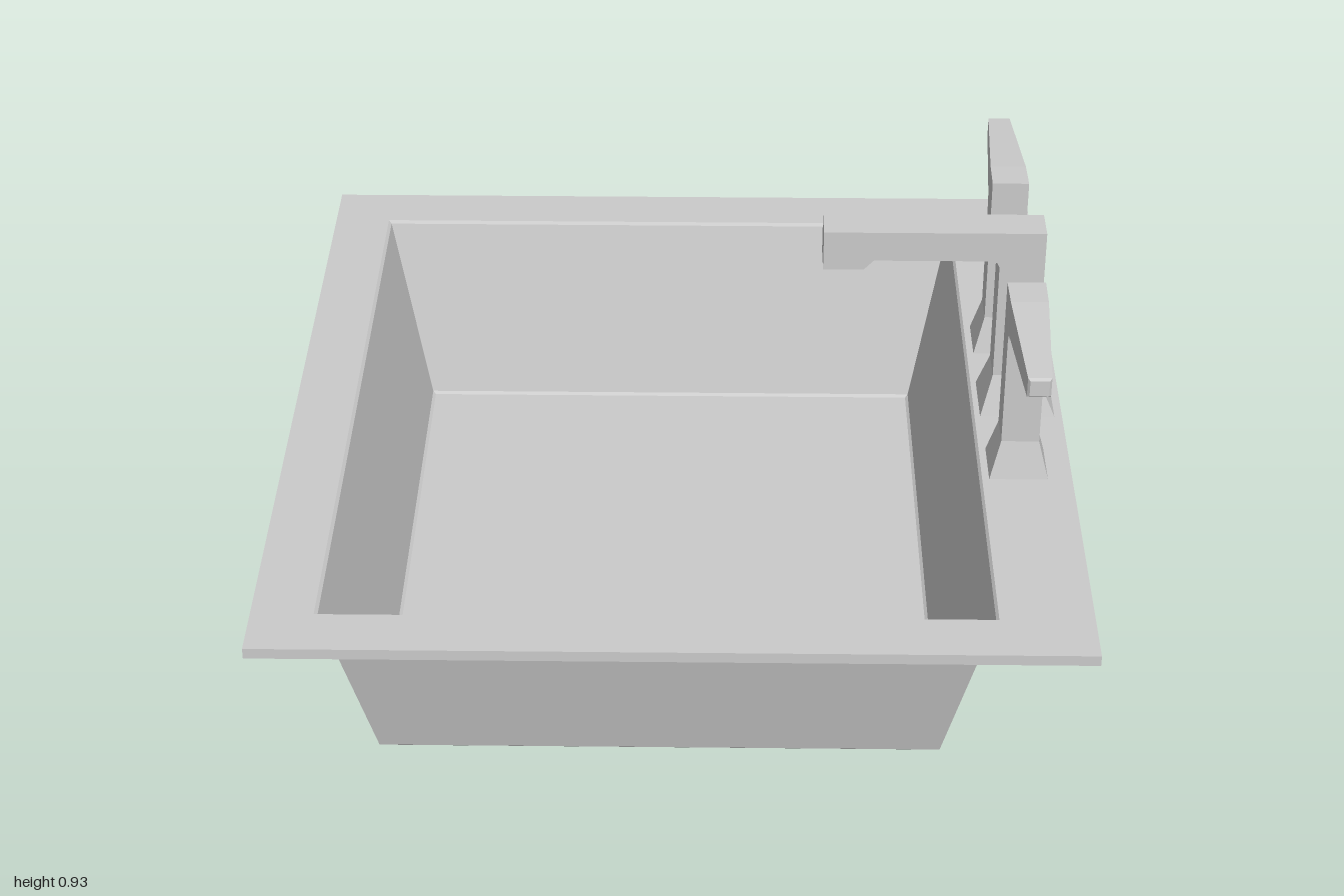
import * as THREE from 'three';

const grey = new THREE.MeshStandardMaterial({ color: 0xcccccc, flatShading: true, side: THREE.DoubleSide });

// Skin a list of four-cornered rings; optionally close the first and last ring
function loft(name, rings, capStart, capEnd) {
  const index = [];
  for (let r = 0; r < rings.length - 1; r++) {
    for (let i = 0; i < 4; i++) {
      const a = r * 4 + i, b = r * 4 + (i + 1) % 4;
      index.push(a, a + 4, b, b, a + 4, b + 4);
    }
  }
  const e = (rings.length - 1) * 4;
  if (capStart) index.push(0, 1, 2, 0, 2, 3);
  if (capEnd) index.push(e, e + 3, e + 2, e, e + 2, e + 1);
  let geometry = new THREE.BufferGeometry();
  geometry.setAttribute('position', new THREE.Float32BufferAttribute(rings.flat(2), 3));
  geometry.setIndex(index);
  geometry = geometry.toNonIndexed();
  geometry.computeVertexNormals();
  const mesh = new THREE.Mesh(geometry, grey);
  mesh.name = name;
  return mesh;
}

// Horizontal rectangle at height y
const rect = (x0, x1, z0, z1, y) => [[x0, y, z0], [x1, y, z0], [x1, y, z1], [x0, y, z1]];

// Section of a bent arm: outer edge (z, y), inner edge (z, y), half width in x
const section = ([az, ay, bz, by, w]) => [[-w, ay, az], [w, ay, az], [w, by, bz], [-w, by, bz]];
const arm = (name, sections) => loft(name, sections.map(section), true, true);

export function createModel() {
  const model = new THREE.Group();
  model.name = 'sink';
  const rimTop = 0.455, rimBottom = 0.43;

  // Flat rim with a small lip around the opening
  model.add(loft('rim', [
    rect(-0.757, 0.69, -0.853, 0.864, rimBottom),
    rect(-0.905, 0.905, -1, 1, rimBottom),
    rect(-0.905, 0.905, -1, 1, rimTop),
    rect(-0.768, 0.699, -0.863, 0.874, rimTop),
    rect(-0.761, 0.693, -0.857, 0.868, rimTop - 0.007),
  ], false, false));

  // Thin tapered basin
  model.add(loft('basin', [
    rect(-0.761, 0.693, -0.857, 0.868, rimTop - 0.007),
    rect(-0.661, 0.598, -0.741, 0.755, 0.006),
    rect(-0.654, 0.591, -0.734, 0.748, 0),
  ], false, true));

  // Spout: flared foot, post, mitred bend and dropped nozzle
  const spout = arm('spout', [
    [-0.097, rimTop, 0.078, rimTop, 0.077],
    [-0.053, 0.55, 0.051, 0.55, 0.045],
    [-0.053, 0.84, 0.051, 0.84, 0.045],
    [-0.053, 0.93, 0.056, 0.852, 0.045],
    [0.07, 0.93, 0.07, 0.857, 0.045],
    [0.34, 0.93, 0.34, 0.857, 0.045],
    [0.363, 0.93, 0.363, 0.833, 0.045],
    [0.456, 0.93, 0.456, 0.833, 0.045],
  ]);
  spout.position.set(0.79, 0, -0.009);
  spout.rotation.y = -Math.PI / 2;
  model.add(spout);

  // Handles: flared foot, post and tapering lever, pointing away from the spout
  for (const side of [1, -1]) {
    const handle = arm(side > 0 ? 'frontHandle' : 'backHandle', [
      [-0.064, rimTop, 0.064, rimTop, 0.067],
      [-0.043, 0.545, 0.043, 0.545, 0.043],
      [-0.043, 0.815, 0.043, 0.815, 0.043],
      [-0.043, 0.912, 0.046, 0.826, 0.043],
      [0.043, 0.912, 0.058, 0.832, 0.042],
      [0.33, 0.893, 0.33, 0.846, 0.026],
      [0.336, 0.888, 0.336, 0.851, 0.021],
    ]);
    handle.position.set(0.782, 0, side * 0.275 - 0.006);
    if (side < 0) handle.rotation.y = Math.PI;
    model.add(handle);
  }
  return model;
}
